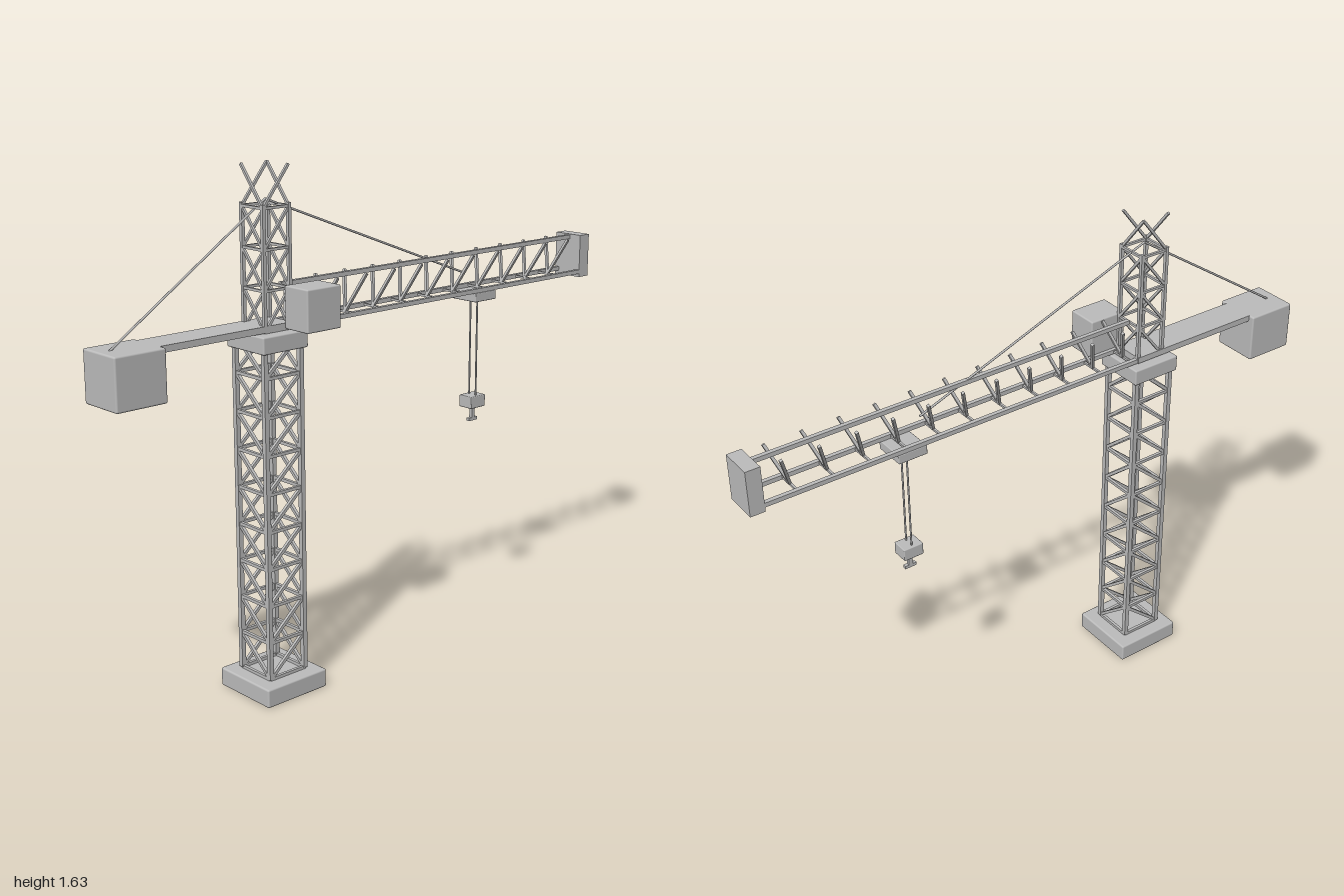
import * as THREE from 'three';
import { RoundedBoxGeometry } from 'three/addons/geometries/RoundedBoxGeometry.js';

const CX = -0.412, CZ = -0.019; // tower axis

export function createModel() {
  const crane = new THREE.Group();
  crane.name = 'towerCrane';
  const steel = new THREE.MeshStandardMaterial({ color: 0xbcbcbc });
  steel.name = 'greySteel';

  const group = (name) => {
    const g = new THREE.Group();
    g.name = name;
    crane.add(g);
    return g;
  };

  // Box given by its lower and upper corners, optionally with softened edges
  const box = (parent, name, [x0, y0, z0], [x1, y1, z1], bevel = 0) => {
    const s = [x1 - x0, y1 - y0, z1 - z0];
    const geo = bevel ? new RoundedBoxGeometry(...s, 2, bevel) : new THREE.BoxGeometry(...s);
    const m = new THREE.Mesh(geo, steel);
    m.position.set((x0 + x1) / 2, (y0 + y1) / 2, (z0 + z1) / 2);
    m.name = name;
    parent.add(m);
  };

  // Bar between two points: square, or round when sides is given
  const up = new THREE.Vector3(0, 1, 0);
  const bar = (parent, name, a, b, t, sides = 0) => {
    const p = new THREE.Vector3(...a), d = new THREE.Vector3(...b).sub(p), len = d.length();
    const geo = sides ? new THREE.CylinderGeometry(t / 2, t / 2, len, sides) : new THREE.BoxGeometry(t, len, t);
    const m = new THREE.Mesh(geo, steel);
    m.position.copy(p).addScaledVector(d, 0.5);
    m.quaternion.setFromUnitVectors(up, d.normalize());
    m.name = name;
    parent.add(m);
  };

  // Square lattice column: four legs, rungs and one diagonal per bay on each side
  const lattice = (parent, h, y0, legTop, bay, rungs, bays, legT, barT) => {
    for (const s of [-1, 1]) {
      for (const k of [-1, 1]) {
        bar(parent, 'leg', [CX + s * h, y0, CZ + k * h], [CX + s * h, legTop, CZ + k * h], legT);
      }
      for (let i = 0; i < rungs; i++) {
        const y = y0 + i * bay;
        bar(parent, 'rung', [CX - h, y, CZ + s * h], [CX + h, y, CZ + s * h], barT);
        bar(parent, 'rung', [CX + s * h, y, CZ - h], [CX + s * h, y, CZ + h], barT);
      }
      for (let i = 0; i < bays; i++) {
        const a = y0 + i * bay, b = a + bay;
        bar(parent, 'diagonal', [CX - h, a, CZ + s * h], [CX + h, b, CZ + s * h], barT);
        bar(parent, 'diagonal', [CX + s * h, a, CZ + h], [CX + s * h, b, CZ - h], barT);
      }
    }
  };

  // Foundation, tower, slewing platform and upper mast
  box(crane, 'foundation', [CX - 0.117, 0, CZ - 0.117], [CX + 0.117, 0.06, CZ + 0.117], 0.006);
  lattice(group('tower'), 0.068, 0.066, 1.1, 0.1187, 9, 9, 0.015, 0.01);
  box(crane, 'slewingPlatform', [CX - 0.085, 1.092, CZ - 0.086], [CX + 0.085, 1.145, CZ + 0.086], 0.005);
  lattice(group('upperMast'), 0.048, 1.15, 1.52, 0.12, 4, 4, 0.011, 0.008);

  // Counter-jib and counterweight
  box(crane, 'counterJib', [-0.97, 1.148, CZ - 0.056], [-0.36, 1.168, CZ + 0.052]);
  box(crane, 'counterweight', [-1, 1.01, CZ - 0.077], [-0.83, 1.168, CZ + 0.077], 0.006);

  // Operator cab
  box(crane, 'cab', [-0.387, 1.15, 0.032], [-0.257, 1.28, 0.135], 0.005);

  // Main jib: two lower chords, one upper chord, splayed struts
  const jib = group('jib');
  const x0 = -0.36, x1 = 0.96;
  bar(jib, 'upperChord', [x0, 1.273, CZ], [x1, 1.273, CZ], 0.014);
  for (const s of [-1, 1]) {
    bar(jib, 'lowerChord', [x0, 1.155, CZ + s * 0.046], [x1, 1.155, CZ + s * 0.046], 0.014);
  }
  for (let i = 0; i < 11; i++) {
    const x = -0.319 + i * 0.1187;
    for (const s of [-1, 1]) {
      bar(jib, 'strut', [x - 0.022, 1.155, CZ], [x + 0.022, 1.275, CZ + s * 0.05], 0.009);
    }
    bar(jib, 'crossRung', [x - 0.022, 1.155, CZ - 0.046], [x - 0.022, 1.155, CZ + 0.046], 0.007);
  }
  box(jib, 'endPlate', [0.953, 1.136, CZ - 0.055], [1, 1.283, CZ + 0.053]);

  // Tie cables from the mast head
  bar(crane, 'rearTie', [CX, 1.53, CZ], [-0.965, 1.165, CZ], 0.007, 8);
  bar(crane, 'frontTie', [CX, 1.53, CZ], [0.415, 1.214, CZ], 0.007, 8);

  // Trolley, hoist cables and hook
  const hoist = group('hoist'), hx = 0.475;
  box(hoist, 'trolley', [hx - 0.049, 1.117, CZ - 0.053], [hx + 0.049, 1.147, CZ + 0.053], 0.003);
  for (const s of [-1, 1]) {
    bar(hoist, 'hoistCable', [hx, 0.78, CZ + s * 0.015], [hx, 1.12, CZ + s * 0.015], 0.006, 8);
  }
  box(hoist, 'hookBlock', [hx - 0.034, 0.746, CZ - 0.028], [hx + 0.034, 0.787, CZ + 0.028], 0.003);
  box(hoist, 'hookShaft', [hx - 0.007, 0.7, CZ - 0.006], [hx + 0.007, 0.75, CZ + 0.006]);
  box(hoist, 'hookBar', [hx - 0.02, 0.697, CZ - 0.006], [hx + 0.02, 0.707, CZ + 0.006]);

  return crane;
}
